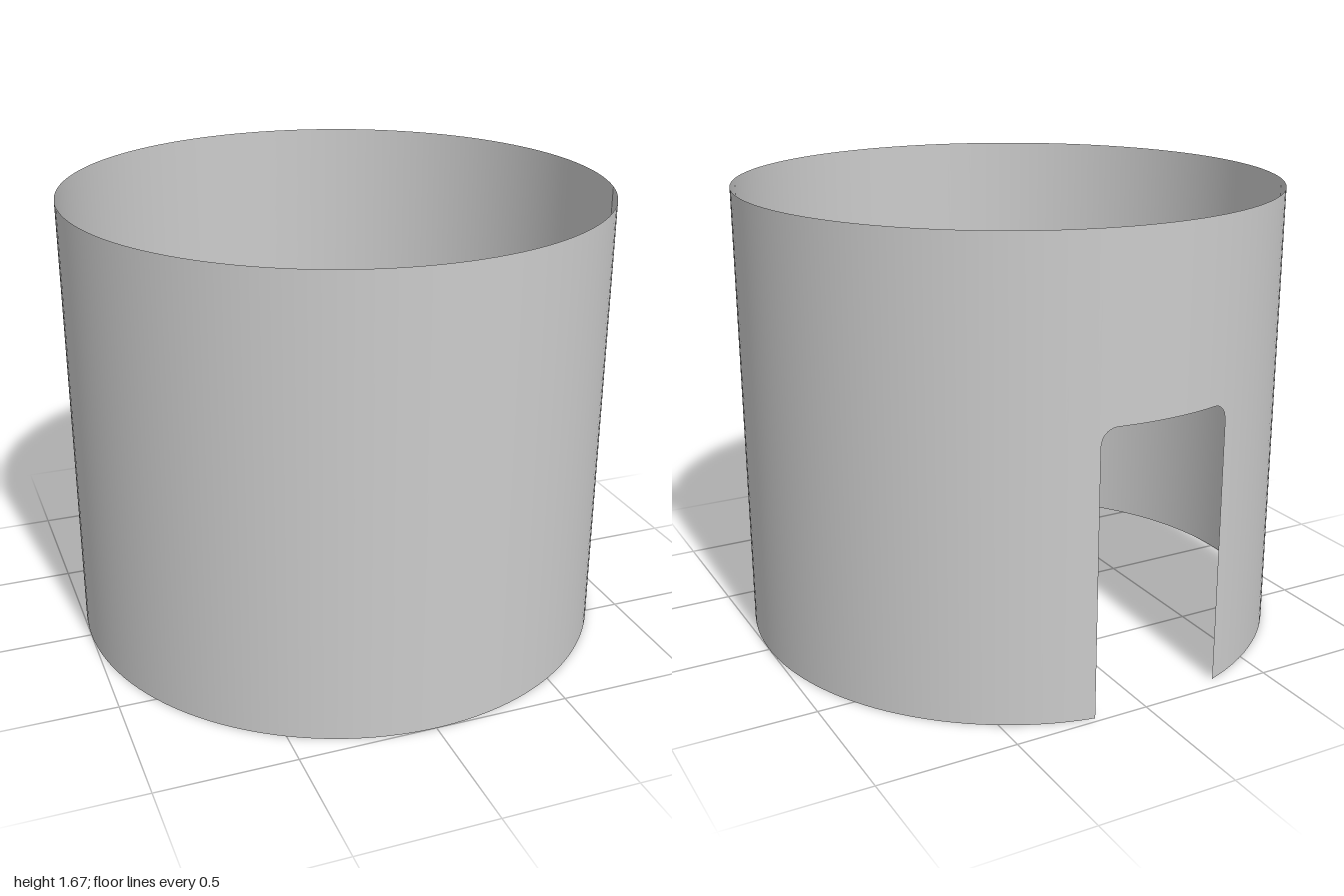
import * as THREE from 'three';

const HEIGHT = 1.667;
const RADIUS = 1;
const NOTCH_TOP = 1.03;
const CORNER = 0.06;
const NOTCH_START = THREE.MathUtils.degToRad(168.9);
const NOTCH_ANGLE = THREE.MathUtils.degToRad(29.3);

// Open, paper-thin arc of the wall, standing on y = 0
function arcWall(start, angle, segments) {
  const geometry = new THREE.CylinderGeometry(
    RADIUS, RADIUS, HEIGHT, segments, 1, true, start, angle);
  return geometry.translate(0, HEIGHT / 2, 0);
}

export function createModel() {
  const group = new THREE.Group();
  group.name = 'notchedTube';
  const material = new THREE.MeshStandardMaterial({
    color: 0xcccccc, side: THREE.DoubleSide });

  // Full-height wall all round except over the notch
  const wall = new THREE.Mesh(
    arcWall(NOTCH_START + NOTCH_ANGLE, Math.PI * 2 - NOTCH_ANGLE, 120), material);
  wall.name = 'wall';
  group.add(wall);

  // Wall above the notch: its lower edge is raised, with rounded corners
  const segments = 96;
  const geometry = arcWall(NOTCH_START, NOTCH_ANGLE, segments);
  const position = geometry.attributes.position;
  for (let i = 0; i <= segments; i++) {
    const fromSide = Math.min(i, segments - i) / segments * NOTCH_ANGLE * RADIUS;
    const inset = Math.max(0, CORNER - fromSide);
    const drop = CORNER - Math.sqrt(CORNER * CORNER - inset * inset);
    position.setY(segments + 1 + i, NOTCH_TOP - drop);
  }
  const lintel = new THREE.Mesh(geometry, material);
  lintel.name = 'wallAboveNotch';
  group.add(lintel);

  return group;
}
